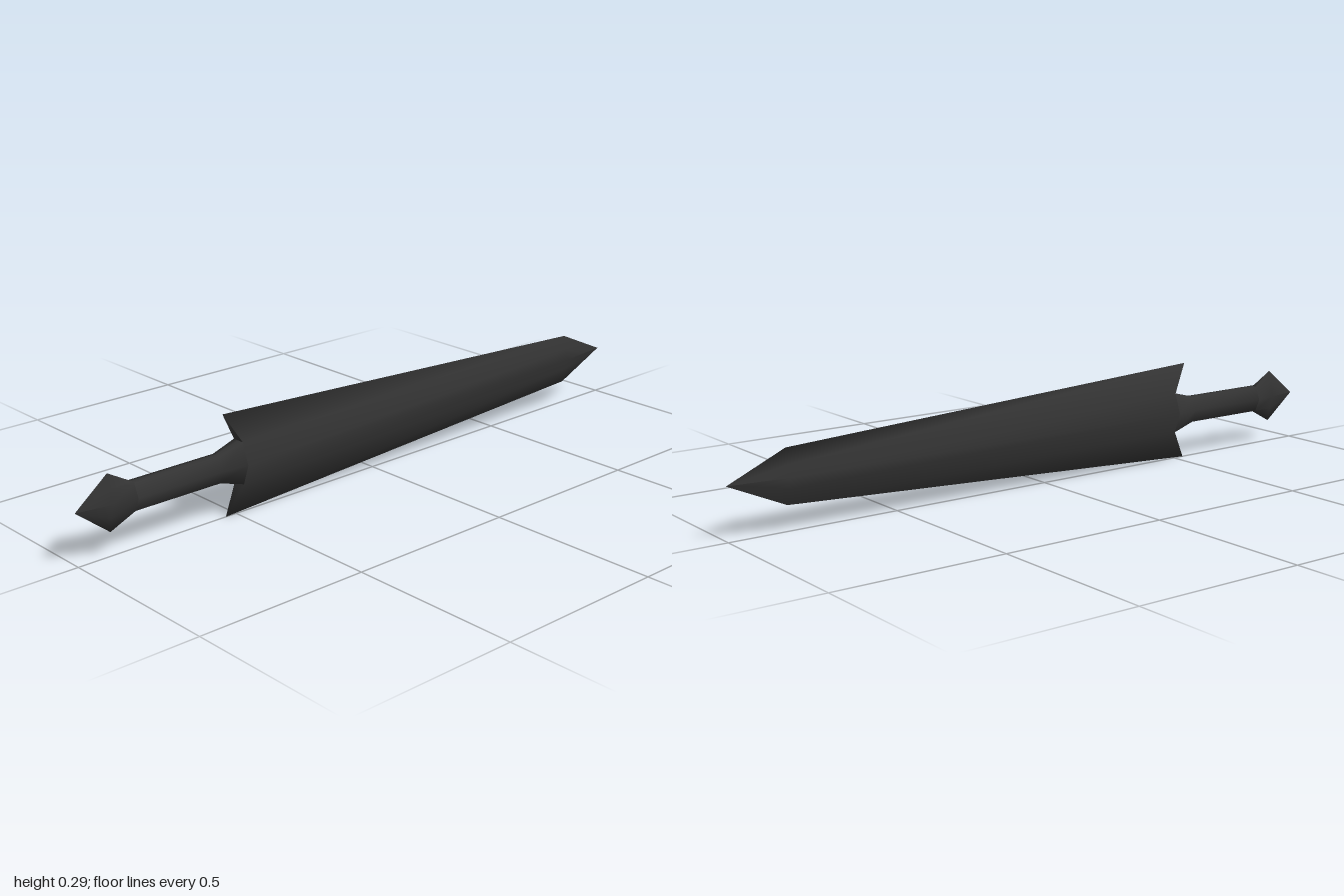
import * as THREE from 'three';

const CY = 0.149; // height of the sword's long axis

// Eight-point section: thin top/bottom edges, four shoulders, front/back ridges.
function section(edgeX, edgeH, midX, midH, midZ, ridgeX, ridgeZ) {
  return [
    [edgeX, edgeH, 0], [midX, midH, midZ], [ridgeX, 0, ridgeZ], [midX, -midH, midZ],
    [edgeX, -edgeH, 0], [midX, -midH, -midZ], [ridgeX, 0, -ridgeZ], [midX, midH, -midZ],
  ];
}
const point = (x) => section(x, 0, x, 0, 0, x, 0);

// Skin a run of sections with smooth normals.
function loft(sections) {
  const positions = sections.flat().flatMap(([x, y, z]) => [x, y + CY, z]);
  const index = [];
  for (let i = 0; i < sections.length - 1; i++) {
    for (let j = 0; j < 8; j++) {
      const k = (j + 1) % 8;
      const a = i * 8 + j, b = i * 8 + k, c = b + 8, d = a + 8;
      index.push(a, b, d, b, c, d);
    }
  }
  const geometry = new THREE.BufferGeometry();
  geometry.setAttribute('position', new THREE.Float32BufferAttribute(positions, 3));
  geometry.setIndex(index);
  geometry.computeVertexNormals();
  return geometry;
}

export function createModel() {
  const group = new THREE.Group();
  group.name = 'sword';
  const darkMetal = new THREE.MeshStandardMaterial({ color: 0x333333 });
  darkMetal.name = 'dark metal';

  const add = (name, sections) => {
    const mesh = new THREE.Mesh(loft(sections), darkMetal);
    mesh.name = name;
    group.add(mesh);
  };

  const gripStart = section(-0.83, 0.04, -0.83, 0.038, 0.014, -0.83, 0.03);
  const gripEnd = section(-0.56, 0.04, -0.56, 0.038, 0.014, -0.56, 0.03);
  const neck = section(-0.485, 0.06, -0.485, 0.06, 0.019, -0.485, 0.04);

  // Pointed diamond pommel
  add('pommel', [point(-1), section(-0.9, 0.08, -0.9, 0.04, 0.009, -0.9, 0.018), gripStart]);

  // Straight grip flaring into the blade
  add('grip', [gripStart, gripEnd, neck]);

  // Blade: swept-back barbs at the root, long taper, then the point
  add('blade', [
    neck,
    section(-0.535, 0.146, -0.485, 0.06, 0.019, -0.485, 0.04),
    section(0.83, 0.076, 0.83, 0.032, 0.009, 0.83, 0.018),
    point(1),
  ]);

  return group;
}
